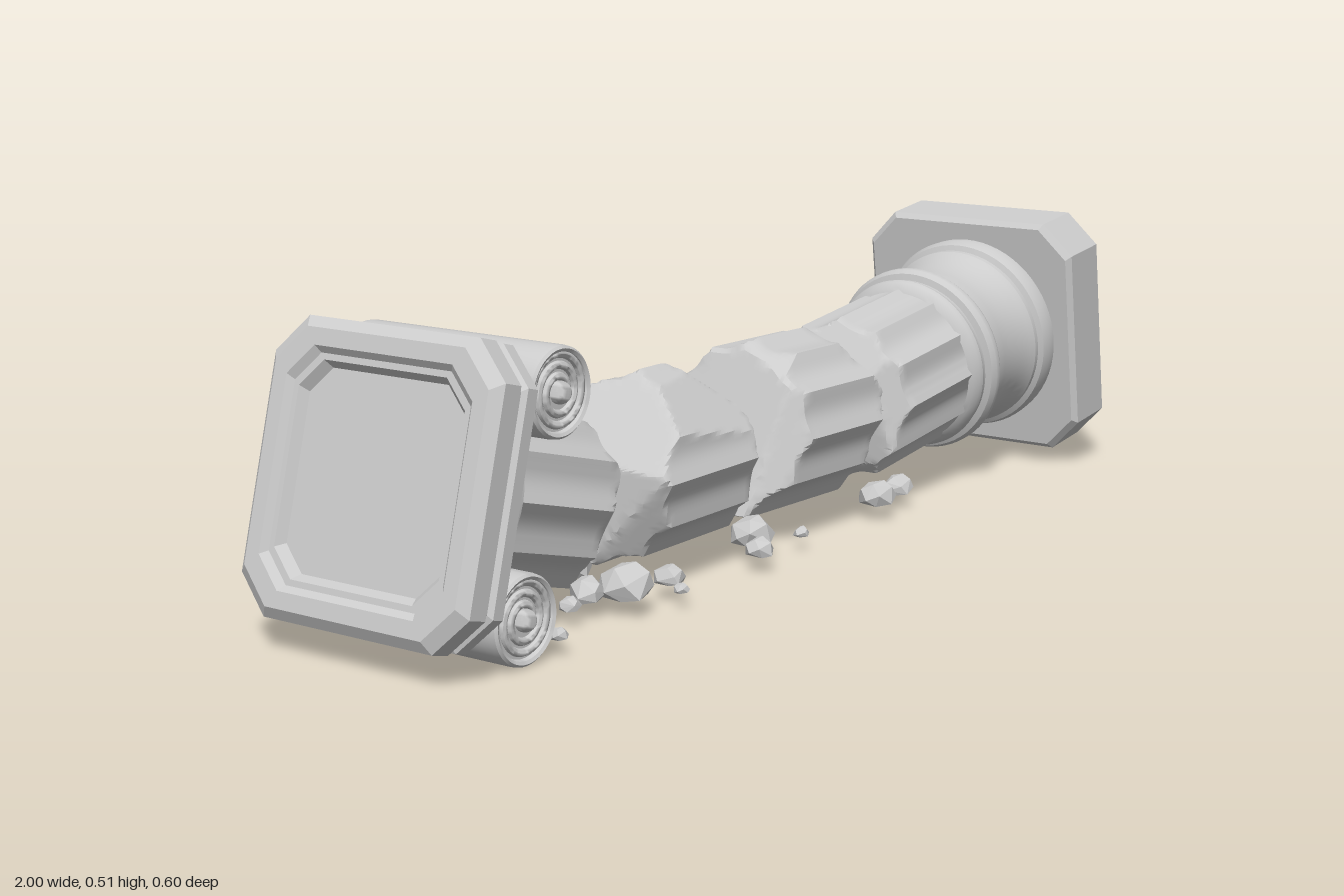
import * as THREE from 'three';
import { toCreasedNormals } from 'three/addons/utils/BufferGeometryUtils.js';
import { ConvexGeometry } from 'three/addons/geometries/ConvexGeometry.js';

const stone = new THREE.MeshStandardMaterial({ color: 0xcccccc });

function part(name, geometry, parent, crease = 0.5) {
  const mesh = new THREE.Mesh(toCreasedNormals(geometry, crease), stone);
  mesh.name = name;
  parent.add(mesh);
  return mesh;
}

// A group whose local +x is the column axis: yaw turns it, pitch lifts it.
function section(name, parent, position, yaw, pitch) {
  const group = new THREE.Group();
  group.name = name;
  group.position.set(...position);
  group.rotation.set(0, yaw, pitch);
  parent.add(group);
  return group;
}

// Turned profile of [radius, distance along x] pairs.
function turned(profile, segments) {
  const points = profile.map(([r, d]) => new THREE.Vector2(r, d));
  return new THREE.LatheGeometry(points, segments);
}

// Square slab with cut corners: an 8-sided turning whose corners are moved onto the octagon.
function cutCornerSlab(profile) {
  const a = 0.74;
  const corners = [[a, 1], [1, a], [1, -a], [a, -1], [-a, -1], [-1, -a], [-1, a], [-a, 1]];
  const geometry = turned(profile, 8);
  const pos = geometry.attributes.position;
  for (let i = 0; i < pos.count; i++) {
    const [cx, cz] = corners[Math.floor(i / profile.length) % 8];
    const half = profile[i % profile.length][0];
    pos.setXYZ(i, cx * half, pos.getY(i), cz * half);
  }
  return geometry.rotateZ(-Math.PI / 2);
}

// Fluted drum centred on the origin along x. Each break plane [nx, ny, nz, d]
// pulls the vertices beyond it back towards the centre, leaving a flat fracture.
function flutedDrum(halfLength, radius, breaks, flutes = 12) {
  const capRings = 9, sideRings = 24, profile = [];
  for (let i = 0; i < capRings; i++) profile.push([radius * i / capRings, -halfLength]);
  for (let i = 0; i <= sideRings; i++) profile.push([radius, halfLength * (2 * i / sideRings - 1)]);
  for (let i = capRings - 1; i >= 0; i--) profile.push([radius * i / capRings, halfLength]);
  const geometry = turned(profile, flutes * 10).rotateZ(-Math.PI / 2);
  const pos = geometry.attributes.position;
  const p = new THREE.Vector3(), n = new THREE.Vector3();
  for (let i = 0; i < pos.count; i++) {
    p.fromBufferAttribute(pos, i);
    const flute = 1 - 0.085 * Math.abs(Math.sin(Math.atan2(p.y, p.z) * flutes / 2));
    p.y *= flute;
    p.z *= flute;
    let scale = 1;
    for (const [nx, ny, nz, d] of breaks) {
      const reach = n.set(nx, ny, nz).normalize().dot(p);
      if (reach > d) scale = Math.min(scale, d / reach);
    }
    p.multiplyScalar(scale);
    pos.setXYZ(i, p.x, p.y, p.z);
  }
  return geometry;
}

// Base end: square plinth, mouldings and the lowest stretch of shaft.
function addBase(root) {
  const base = section('columnBase', root, [0.96, 0.275, -0.072], 0.07, 0.132);
  part('plinth', cutCornerSlab([[0, -0.125], [0.223, -0.125], [0.2325, -0.115],
    [0.2325, -0.012], [0.222, 0], [0, 0]]), base, 0.1);
  part('baseMoulding', turned([[0.15, -0.39], [0.158, -0.385], [0.166, -0.375], [0.168, -0.365],
    [0.164, -0.355], [0.164, -0.35], [0.176, -0.346], [0.182, -0.335], [0.182, -0.325],
    [0.176, -0.314], [0.166, -0.31], [0.166, -0.295], [0.162, -0.27], [0.161, -0.24],
    [0.164, -0.21], [0.171, -0.185], [0.177, -0.175], [0.177, -0.165], [0.187, -0.16],
    [0.192, -0.145], [0.19, -0.12]], 64).rotateZ(-Math.PI / 2), base);
  const shaft = part('baseShaft', flutedDrum(0.15, 0.156, [
    [-0.8, 0.55, 0.25, 0.172], [-0.9, -0.1, -0.45, 0.168],
    [-0.75, 0.2, 0.65, 0.178], [-0.7, -0.65, 0.1, 0.19], [-0.6, 0.5, -0.6, 0.185],
  ]), base);
  shaft.position.x = -0.495;
}

// Scroll bolster along z, with a spiral and a boss on each end.
function addScroll(parent, y) {
  const scroll = new THREE.Group();
  scroll.name = 'scroll';
  scroll.position.set(0.18, y, 0.005);
  parent.add(scroll);
  const end = [[0, 0.19], [0.06, 0.19], [0.062, 0.197], [0.067, 0.2], [0.071, 0.196], [0.072, 0.188]];
  const profile = [...end.map(([r, d]) => [r, -d]), ...end.reverse()];
  part('scrollBody', turned(profile, 48).rotateX(Math.PI / 2), scroll);
  const turns = [];
  for (let i = 0; i <= 40; i++) {
    const t = i / 40, angle = t * Math.PI * 5, r = 0.02 + 0.042 * t;
    turns.push(new THREE.Vector3(r * Math.cos(angle), r * Math.sin(angle), 0));
  }
  const spiral = new THREE.TubeGeometry(new THREE.CatmullRomCurve3(turns), 120, 0.0065, 8);
  for (const side of [-1, 1]) {
    part('scrollSpiral', spiral, scroll, 1).position.z = side * 0.191;
    part('scrollBoss', new THREE.SphereGeometry(0.018, 20, 14), scroll, 1).position.z = side * 0.195;
  }
}

// Capital end: recessed top slab, scrolls, rounded neck and upper shaft.
function addCapital(root) {
  const capital = section('columnCapital', root, [-0.931, 0.284, 0.065], 0.07, -0.26);
  part('topSlab', cutCornerSlab([[0, 0.025], [0.158, 0.025], [0.168, 0.01], [0.178, 0.01],
    [0.188, 0], [0.215, 0], [0.2325, 0.015], [0.2325, 0.05], [0.222, 0.056], [0.222, 0.064],
    [0.23, 0.07], [0.23, 0.092], [0.222, 0.1], [0.195, 0.102], [0.188, 0.115], [0, 0.115]]), capital, 0.1);
  part('capitalNeck', turned([[0.19, 0.1], [0.192, 0.125], [0.185, 0.138], [0.176, 0.143],
    [0.176, 0.15], [0.17, 0.165], [0.162, 0.172], [0.162, 0.18], [0.15, 0.19]], 64)
    .rotateZ(-Math.PI / 2), capital);
  for (const y of [-0.172, 0.172]) addScroll(capital, y);
  const shaft = part('upperShaft', flutedDrum(0.18, 0.155, [
    [0.9, 0.38, 0.2, 0.172], [0.8, -0.2, 0.55, 0.175], [0.75, 0.35, -0.55, 0.168],
    [0.85, -0.45, -0.3, 0.172], [0.45, 0.85, 0.25, 0.18],
  ]), capital);
  shaft.position.x = 0.31;
}

// Two loose drums between the ends.
function addLooseDrums(root) {
  const chipped = section('chippedDrum', root, [-0.245, 0.19, 0.012], 0.1, 0);
  part('chippedDrumStone', flutedDrum(0.152, 0.157, [
    [-0.7, 0.7, 0.05, 0.123], [0.68, 0.73, 0, 0.158], [-0.75, 0.2, -0.65, 0.13],
    [0.1, 0.75, 0.65, 0.134], [0.15, 0.85, -0.5, 0.141], [0.8, 0.2, -0.55, 0.165],
    [0.85, -0.1, 0.5, 0.178], [-0.8, -0.4, 0.4, 0.182],
  ]), chipped);
  const leaning = section('slantedDrum', root, [0.112, 0.193, -0.012], 0.04, 0);
  part('slantedDrumStone', flutedDrum(0.173, 0.158, [
    [-0.935, 0.355, 0, 0.11], [-0.7, 0.1, -0.7, 0.163], [0.7, 0.05, -0.7, 0.188],
    [0.75, 0.6, 0.2, 0.19], [-0.75, 0.2, 0.6, 0.15], [0.85, -0.35, 0.4, 0.185],
    [-0.4, 0.85, 0.3, 0.15],
  ]), leaning);
}

// Flat-bottomed rubble lying along the column: [x, z, size].
function addRubble(root) {
  const rubble = new THREE.Group();
  rubble.name = 'rubble';
  root.add(rubble);
  let seed = 7;
  const random = () => (seed = (seed * 16807) % 2147483647) / 2147483647;
  const stones = [
    [-0.41, -0.155, 0.045], [-0.455, -0.24, 0.011], [-0.35, -0.18, 0.015], [-0.445, 0.02, 0.04],
    [-0.475, 0.175, 0.05], [-0.53, 0.14, 0.035], [-0.4, 0.227, 0.014], [-0.37, 0.175, 0.028],
    [-0.14, 0.177, 0.029], [-0.08, 0.11, 0.043], [-0.035, -0.145, 0.042], [-0.07, -0.05, 0.035],
    [0.01, 0.15, 0.016], [0.29, 0.11, 0.038], [0.285, -0.1, 0.032], [0.3, -0.15, 0.017],
    [0.31, -0.19, 0.018], [0.38, 0.09, 0.032], [0.37, -0.235, 0.012], [-0.715, 0.255, 0.016],
    [-0.59, 0.16, 0.02],
  ];
  for (const [x, z, size] of stones) {
    const points = [];
    for (let i = 0; i < 18; i++) {
      const h = 1 - 2 * (i + 0.5) / 18, turn = i * 2.4 + random() * 0.7;
      const r = Math.sqrt(1 - h * h) * (0.85 + 0.2 * random());
      points.push(new THREE.Vector3(r * Math.cos(turn), Math.max(h, -0.4), r * Math.sin(turn)).multiplyScalar(size));
    }
    const mesh = part('rubbleStone', new ConvexGeometry(points), rubble, 0.01);
    mesh.position.set(x, 0.026 + size * 0.34, z);
    mesh.scale.y = 0.85;
  }
}

export function createModel() {
  const root = new THREE.Group();
  root.name = 'fallenColumn';
  addBase(root);
  addLooseDrums(root);
  addCapital(root);
  addRubble(root);
  return root;
}
